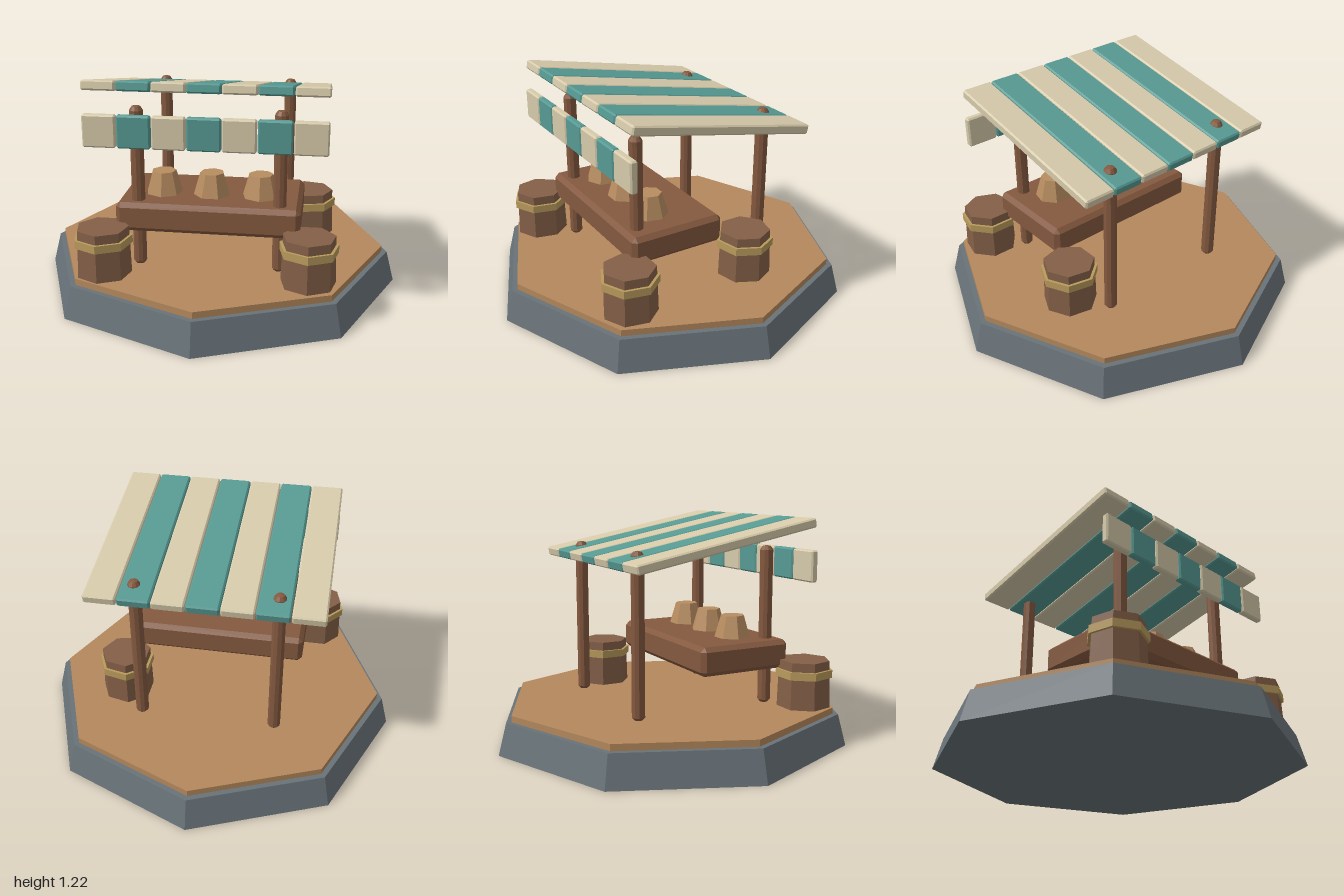
import * as THREE from 'three';
import { ConvexGeometry } from 'three/addons/geometries/ConvexGeometry.js';

const mat = (name, color) => {
  const m = new THREE.MeshStandardMaterial({ color });
  m.name = name;
  return m;
};

// Flat-faced copy of an indexed geometry
function facet(geometry) {
  const g = geometry.toNonIndexed();
  g.computeVertexNormals();
  return g;
}

// Tapered prism standing on y = 0
function prism(rTop, rBottom, height, sides) {
  return facet(new THREE.CylinderGeometry(rTop, rBottom, height, sides).translate(0, height / 2, 0));
}

// Box with every edge cut at 45 degrees
function chamferBox(w, h, d, b) {
  const points = [];
  const [x, y, z] = [w / 2, h / 2, d / 2];
  for (const i of [-1, 1]) for (const j of [-1, 1]) for (const k of [-1, 1]) {
    points.push(new THREE.Vector3(i * x, j * (y - b), k * (z - b)));
    points.push(new THREE.Vector3(i * (x - b), j * y, k * (z - b)));
    points.push(new THREE.Vector3(i * (x - b), j * (y - b), k * z));
  }
  return new ConvexGeometry(points);
}

export function createModel() {
  const model = new THREE.Group();
  model.name = 'marketStall';

  const stone = mat('stone', 0x687278);
  const floorWood = mat('floorWood', 0xb4885c);
  const darkWood = mat('darkWood', 0x84593f);
  const barrelWood = mat('barrelWood', 0x835f47);
  const cupWood = mat('cupWood', 0xb88d60);
  const brass = mat('brass', 0xb99a5c);
  const cream = mat('cream', 0xd6caaa);
  const teal = mat('teal', 0x579a93);

  const add = (parent, name, geometry, material, x, y, z) => {
    const mesh = new THREE.Mesh(geometry, material);
    mesh.name = name;
    mesh.position.set(x, y, z);
    parent.add(mesh);
    return mesh;
  };

  // Octagonal plinth and wooden floor
  add(model, 'plinth', prism(0.955, 1, 0.17, 8), stone, 0, 0, 0);
  add(model, 'floor', prism(0.925, 0.925, 0.035, 8), floorWood, 0, 0.17, 0);

  // Four posts with bevelled ends
  const postProfile = [[0, 0], [0.022, 0], [0.035, 0.015], [0.035, 0.84], [0.022, 0.86], [0, 0.865]]
    .map(([r, y]) => new THREE.Vector2(r, y));
  const postGeometry = facet(new THREE.LatheGeometry(postProfile, 10));
  for (const x of [-0.37, 0.37]) {
    add(model, 'frontPost', postGeometry, darkWood, x, 0.205, 0.4);
    add(model, 'backPost', postGeometry, darkWood, x, 0.205, -0.37);
  }

  // Counter slab with three upturned cups
  add(model, 'counter', chamferBox(0.96, 0.155, 0.535, 0.024), darkWood, 0, 0.487, 0.212);
  const cupGeometry = prism(0.065, 0.1, 0.122, 7);
  [-0.26, 0, 0.26].forEach((x, i) => {
    add(model, 'cup', cupGeometry, cupWood, x, 0.563, 0.26).rotation.y = i * 0.45;
  });

  // Barrels, each with a brass hoop
  const barrelGeometry = prism(0.137, 0.145, 0.255, 7);
  const hoopGeometry = prism(0.154, 0.154, 0.042, 7);
  for (const [x, z, turn] of [[-0.53, 0.55, 0], [0.53, 0.535, 0], [0.5, -0.185, Math.PI / 2]]) {
    const barrel = new THREE.Group();
    barrel.name = 'barrel';
    barrel.position.set(x, 0.205, z);
    barrel.rotation.y = turn;
    add(barrel, 'barrelBody', barrelGeometry, barrelWood, 0, 0, 0);
    add(barrel, 'barrelHoop', hoopGeometry, brass, 0, 0.165, 0);
    model.add(barrel);
  }

  // Sloping striped roof and hanging front valance
  const roof = new THREE.Group();
  roof.name = 'roof';
  roof.position.set(0, 1.098, 0.03);
  roof.rotation.x = -0.19;
  model.add(roof);
  const roofPlank = chamferBox(0.17, 0.05, 1.05, 0.008);
  const valancePanel = chamferBox(0.17, 0.168, 0.04, 0.008);
  for (let i = 0; i < 7; i++) {
    const x = (i - 3) * 0.175;
    const colour = i % 2 ? teal : cream;
    add(roof, 'roofStripe', roofPlank, colour, x, 0, 0);
    add(model, 'valancePanel', valancePanel, colour, x, 0.968, 0.54);
  }

  return model;
}
